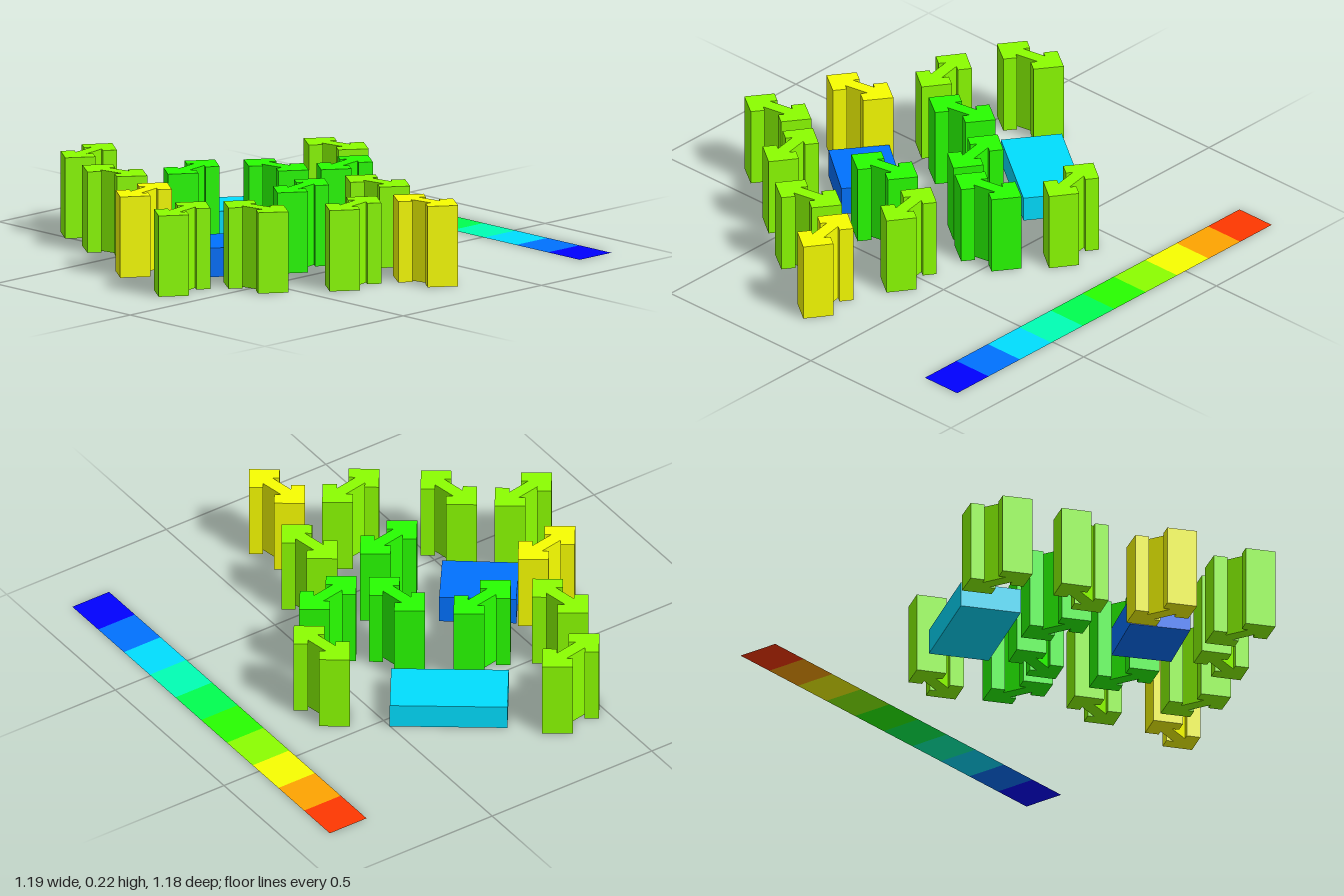
import * as THREE from 'three';

const HEIGHT = 0.215;
const GRID = THREE.MathUtils.degToRad(10);

// colour scale from low to high
const SCALE = [0x0000ff, 0x0072ff, 0x00deff, 0x00ffb4, 0x00ff50,
  0x28ff00, 0x8cff00, 0xf8ff00, 0xffa400, 0xff3800];
const materials = SCALE.map((color) =>
  new THREE.MeshStandardMaterial({ color, side: THREE.DoubleSide }));

// Tower plan: a stem with a right-angled wing pair at each end
function towerGeometry() {
  const quarter = [[0.034, 0.017], [0.021, 0.03], [0.047, 0.056], [0.104, 0]];
  const right = [
    ...quarter.map(([x, y]) => [x, -y]),
    ...quarter.slice(0, -1).reverse(),
  ];
  const outline = [...right, ...right.map(([x, y]) => [-x, -y])];
  const shape = new THREE.Shape(outline.map(([x, y]) => new THREE.Vector2(x, y)));
  return new THREE.ExtrudeGeometry(shape, { depth: HEIGHT, bevelEnabled: false })
    .rotateX(-Math.PI / 2);
}

// x, z, quarter turns, colour step
const TOWERS = [
  [-0.41, -0.76, 0, 6], [-0.52, -0.55, 1, 6], [-0.35, -0.44, 0, 5],
  [-0.62, -0.34, 0, 7], [-0.175, -0.305, 1, 5], [0.105, -0.37, 1, 6],
  [-0.03, -0.20, 0, 5], [-0.70, -0.115, 0, 6], [-0.295, -0.09, 0, 5],
  [-0.545, 0.00, 1, 6], [-0.115, 0.01, 1, 6], [-0.34, 0.15, 0, 6],
  [-0.18, 0.255, 1, 7],
];

// x, z, length, height, width, turn in degrees, colour step
const LOW_BLOCKS = [
  [-0.17, -0.553, 0.305, 0.067, 0.161, -35.5, 2],
  [-0.489, -0.222, 0.20, 0.077, 0.16, -37, 1],
];

export function createModel() {
  const model = new THREE.Group();
  model.name = 'housingEstate';

  // Tall blocks
  const towers = new THREE.Group();
  towers.name = 'towers';
  const plan = towerGeometry();
  for (const [x, z, turns, step] of TOWERS) {
    const tower = new THREE.Mesh(plan, materials[step]);
    tower.name = 'tower';
    tower.position.set(x, 0, z);
    tower.rotation.y = GRID + turns * Math.PI / 2;
    towers.add(tower);
  }
  model.add(towers);

  // Low rectangular blocks
  for (const [x, z, length, height, width, turn, step] of LOW_BLOCKS) {
    const block = new THREE.Mesh(new THREE.BoxGeometry(length, height, width), materials[step]);
    block.name = 'lowBlock';
    block.position.set(x, height / 2, z);
    block.rotation.y = THREE.MathUtils.degToRad(turn);
    model.add(block);
  }

  // Flat colour scale lying on the ground beside the buildings
  const scale = new THREE.Group();
  scale.name = 'colourScale';
  const band = 0.1185;
  const tile = new THREE.PlaneGeometry(0.115, band).rotateX(-Math.PI / 2);
  materials.forEach((material, i) => {
    const swatch = new THREE.Mesh(tile, material);
    swatch.name = 'scaleBand';
    swatch.position.set(0.332, 0, 0.36 - (i + 0.5) * band);
    scale.add(swatch);
  });
  model.add(scale);

  return model;
}
